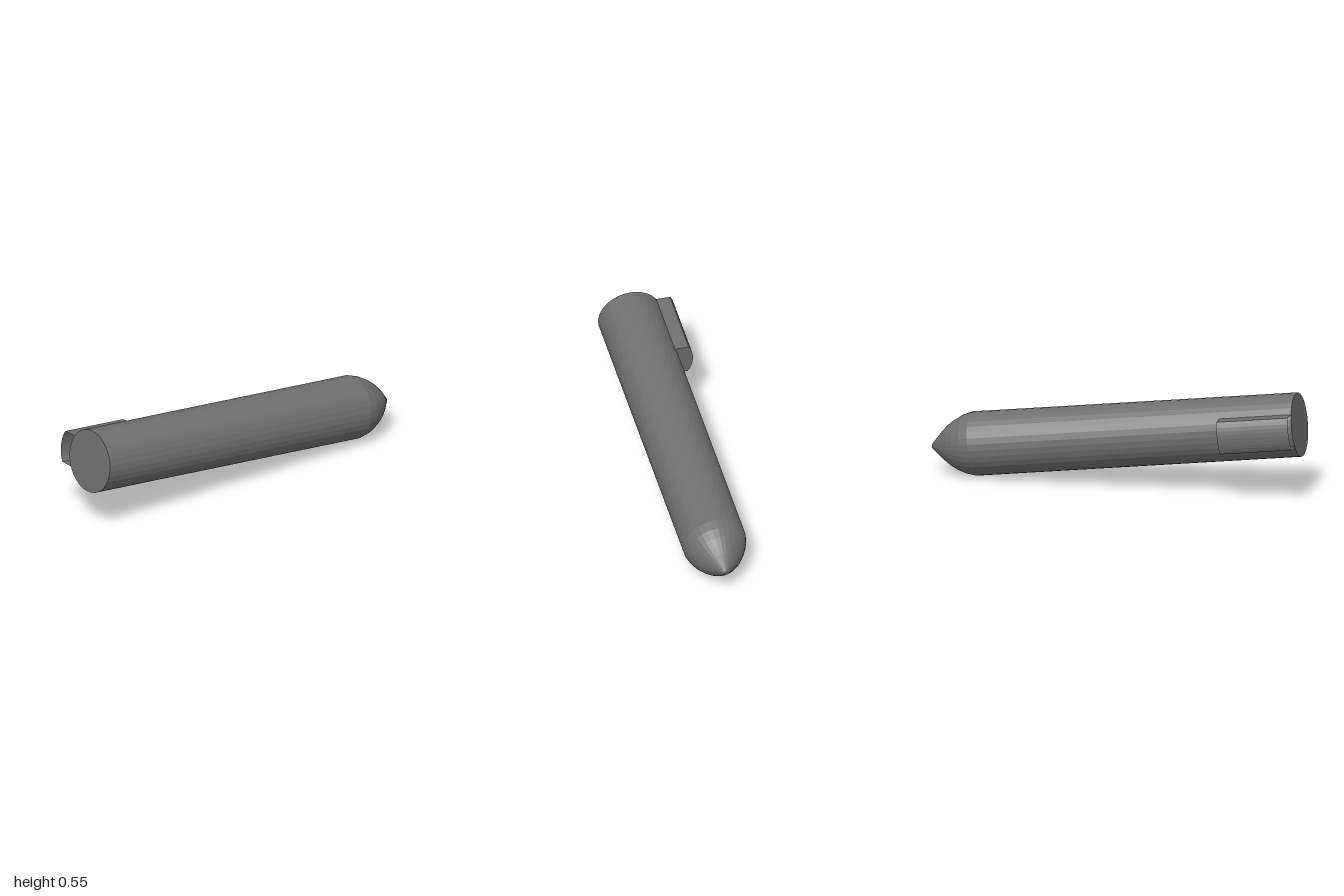
import * as THREE from 'three';

export function createModel() {
  const model = new THREE.Group();
  const material = new THREE.MeshStandardMaterial({ color: 0x6f6f6f, flatShading: true });
  const shellMaterial = material.clone();
  shellMaterial.side = THREE.DoubleSide;

  // Everything is built along +x from the flat tail, then tilted nose-down
  const tilted = new THREE.Group();
  tilted.name = 'roundAssembly';
  tilted.rotation.set(0, 0.0055, -0.121);
  model.add(tilted);

  const add = (name, geometry, surface = material) => {
    const mesh = new THREE.Mesh(geometry, surface);
    mesh.name = name;
    tilted.add(mesh);
  };
  const turned = (profile) => new THREE.LatheGeometry(
    profile.map(([x, r]) => new THREE.Vector2(r, x)), 32).rotateZ(-Math.PI / 2);

  // Straight cylindrical body with a flat tail cap
  const radius = 0.169, shoulder = 1.763;
  add('body', turned([[0, 0], [0, radius], [shoulder, radius]]));

  // Rounded nose ending in a straight cone and a tiny blunt tip
  const nose = [[0, radius], [0.05, 0.156], [0.095, 0.134], [0.135, 0.108],
    [0.167, 0.079], [0.232, 0.011], [0.232, 0]];
  add('nose', turned(nose.map(([x, r]) => [shoulder + x, r])));

  // Raised housing on the back side at the tail, open at its tail end
  const bottom = -0.084, top = 0.09, length = 0.388;
  const section = new THREE.Shape();
  section.moveTo(0.1, bottom);
  section.lineTo(0.217, bottom);
  section.bezierCurveTo(0.251, bottom + 0.037, 0.251, top - 0.037, 0.217, top);
  section.lineTo(0.1, top);

  // Housing wall: a strip following the section, from its front end to the tail
  const outline = section.getPoints(10);
  const wall = new THREE.PlaneGeometry(1, 1, outline.length - 1, 1);
  outline.forEach((p, i) => {
    wall.attributes.position.setXYZ(i, length, p.y, -p.x);
    wall.attributes.position.setXYZ(i + outline.length, 0, p.y, -p.x);
  });
  wall.computeVertexNormals();
  add('housingWall', wall, shellMaterial);

  // Housing face towards the nose
  add('housingFrontFace', new THREE.ShapeGeometry(section, 10)
    .rotateY(Math.PI / 2).translate(length, 0, 0), shellMaterial);

  // Stand on the floor and centre
  model.updateMatrixWorld(true);
  const box = new THREE.Box3().setFromObject(model, true);
  const centre = box.getCenter(new THREE.Vector3());
  tilted.position.set(-centre.x, -box.min.y, -centre.z);
  return model;
}
